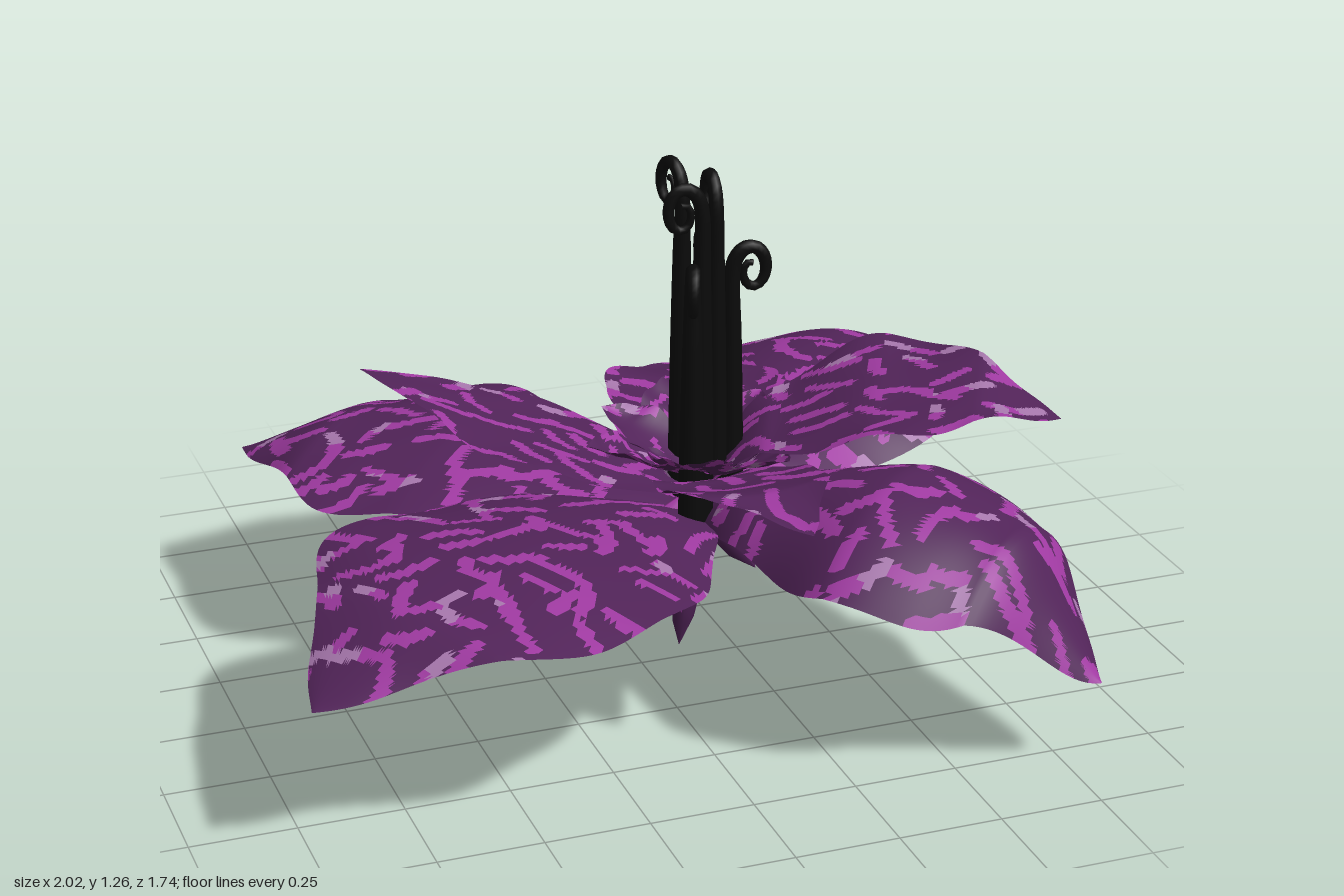
import * as THREE from 'three';

const mat = (name, color, side = THREE.DoubleSide) => {
  const m = new THREE.MeshStandardMaterial({ color, side });
  m.name = name;
  return m;
};

// seeded random numbers
function seeded(seed) {
  let s = seed * 7919 + 17;
  return () => {
    s = (s * 1664525 + 1013904223) % 4294967296;
    return s / 4294967296;
  };
}

// height along a petal, from a few evenly spaced values
function profile(values, u) {
  const f = Math.min(u, 0.9999) * (values.length - 1), i = Math.floor(f), t = f - i;
  return THREE.MathUtils.lerp(values[i], values[i + 1], (t + t * t * (3 - 2 * t)) / 2);
}

// short bent stripes scattered on a jittered grid in plan
function makeStripes(seed, step) {
  const rnd = seeded(seed), list = [];
  for (let x = -1; x < 1.05; x += step) {
    for (let z = -1; z < 1.05; z += step) {
      const cx = x + (rnd() - 0.5) * step * 0.7, cz = z + (rnd() - 0.5) * step * 0.7;
      const a = rnd() * Math.PI, b = a + (rnd() - 0.5) * 1.5, h = step * (0.32 + rnd() * 0.28);
      list.push({
        start: [cx - Math.cos(a) * h, cz - Math.sin(a) * h],
        mid: [cx, cz],
        end: [cx + Math.cos(b) * h, cz + Math.sin(b) * h],
        r: step * (0.12 + rnd() * 0.05),
        light: rnd() < 0.35
      });
    }
  }
  return list;
}

function segmentDistance(x, z, [ax, az], [bx, bz]) {
  const dx = bx - ax, dz = bz - az;
  const t = THREE.MathUtils.clamp(((x - ax) * dx + (z - az) * dz) / (dx * dx + dz * dz), 0, 1);
  return Math.hypot(x - ax - dx * t, z - az - dz * t);
}

// colour index of a point: 0 base, 1 stripe, 2 pale stripe end near the rim
function stripeAt(list, x, z, rim) {
  for (const { start, mid, end, r, light } of list) {
    if (Math.abs(x - mid[0]) > 0.15 || Math.abs(z - mid[1]) > 0.15) continue;
    const d1 = segmentDistance(x, z, start, mid), d2 = segmentDistance(x, z, mid, end);
    if (Math.min(d1, d2) < r) return light && rim > 0.62 && d1 < d2 ? 2 : 1;
  }
  return 0;
}

// half-width of every petal along its axis, as a share of its widest point
const outline = [[0, 0], [0.1, 0.42], [0.3, 0.83], [0.48, 1], [0.62, 0.96], [0.76, 0.66], [0.86, 0.38], [0.94, 0.19], [1, 0]];

// petal: a sheet from base to tip; widths are for its two sides, swell shifts the widest point
function petal({ name, base, tip, widths, swell, heights, cup, tilt = 0 }, seed, mats, nu = 72, nv = 54, step = 0.115) {
  const dx = tip[0] - base[0], dz = tip[1] - base[1], len = Math.hypot(dx, dz);
  const edge = w => new THREE.CatmullRomCurve3(outline.map(([t, k]) => {
    const along = Math.pow(t, swell);
    return new THREE.Vector3(base[0] + dx * along - (dz / len) * k * w, 0, base[1] + dz * along + (dx / len) * k * w);
  }), false, 'centripetal');
  const A = edge(-widths[1]), B = edge(widths[0]), stripes = makeStripes(seed, step);
  const pos = [], groups = [[], [], []], p = new THREE.Vector3();
  for (let i = 0; i <= nu; i++) {
    const u = i / nu, a = A.getPointAt(u), b = B.getPointAt(u), bulge = Math.sin(Math.PI * u);
    for (let j = 0; j <= nv; j++) {
      const s = (2 * j) / nv - 1;
      // wavy rim
      p.lerpVectors(a, b, 0.5 + (s / 2) * (1 + 0.04 * Math.sin(u * 20 + seed + s)));
      const y = profile(heights, u) + (cup * s * s + tilt * s) * bulge + 0.008 * Math.sin(u * 22 + s * 2) * s * s * bulge;
      pos.push(p.x, y, p.z);
    }
  }
  const addTriangle = (...t) => {
    const x = t.reduce((sum, k) => sum + pos[k * 3], 0) / 3, z = t.reduce((sum, k) => sum + pos[k * 3 + 2], 0) / 3;
    const u = t[0] / (nv + 1) / nu, s = Math.abs((2 * (t[0] % (nv + 1))) / nv - 1);
    groups[stripeAt(stripes, x, z, Math.max(u, s))].push(...t);
  };
  for (let i = 0; i < nu; i++) {
    for (let j = 0; j < nv; j++) {
      const a = i * (nv + 1) + j, c = a + nv + 1;
      addTriangle(a, a + 1, c);
      addTriangle(a + 1, c + 1, c);
    }
  }
  const geo = new THREE.BufferGeometry();
  geo.setAttribute('position', new THREE.Float32BufferAttribute(pos, 3));
  geo.setIndex(groups.flat());
  let start = 0;
  groups.forEach((g, k) => { geo.addGroup(start, g.length, k); start += g.length; });
  geo.computeVertexNormals();
  const mesh = new THREE.Mesh(geo, mats);
  mesh.name = name;
  return mesh;
}

// stamen: a tapering stem ending in a rolled-up hook
function stamen([x, z, dx, dz, top], material) {
  const pts = [0.4, 0.65, top - 0.25].map(y => new THREE.Vector3(x, y, z));
  const n = Math.hypot(dx, dz), r0 = 0.048;
  for (let k = 0; k <= 14; k++) {
    const t = k / 14, a = Math.PI - t * 8, r = r0 * (1 - 0.72 * t), d = r0 + Math.cos(a) * r;
    pts.push(new THREE.Vector3(x + (dx / n) * d, top - 0.085 + Math.sin(a) * r * 1.45, z + (dz / n) * d));
  }
  const curve = new THREE.CatmullRomCurve3(pts), rings = 70, sides = 8;
  const geo = new THREE.TubeGeometry(curve, rings, 1, sides), pos = geo.attributes.position;
  const v = new THREE.Vector3();
  for (let i = 0; i <= rings; i++) {
    const c = curve.getPointAt(i / rings), r = 0.034 - 0.026 * Math.pow(i / rings, 1.6);
    for (let j = 0; j <= sides; j++) {
      const k = i * (sides + 1) + j;
      v.fromBufferAttribute(pos, k).sub(c).multiplyScalar(r).add(c);
      pos.setXYZ(k, v.x, v.y, v.z);
    }
  }
  const mesh = new THREE.Mesh(geo, material);
  mesh.name = 'stamen';
  return mesh;
}

// sepal: a flattened spindle hanging from the flower base to a point
function sepal(from, to, width, material) {
  const a = new THREE.Vector3(...from), b = new THREE.Vector3(...to), len = a.distanceTo(b);
  const shape = [[0, 0], [0.55, 0.2], [1, 0.5], [0.8, 0.75], [0, 1]].map(([r, y]) => new THREE.Vector2(r * width, y * len));
  const mesh = new THREE.Mesh(new THREE.LatheGeometry(shape, 8), material);
  mesh.scale.z = 0.6;
  mesh.position.copy(a);
  mesh.quaternion.setFromUnitVectors(new THREE.Vector3(0, 1, 0), b.sub(a).normalize());
  mesh.name = 'sepal';
  return mesh;
}

export function createModel() {
  const flower = new THREE.Group();
  flower.name = 'flower';
  const purple = mat('dark purple', 0x522459), magenta = mat('magenta', 0xa03aa2), pale = mat('pale mauve', 0xa878ae);
  const black = mat('black', 0x0b0b0b, THREE.FrontSide);
  const mats = [purple, magenta, pale];
  const base = [0.13, 0];

  // four large outer petals
  const outer = [
    { name: 'outerPetalRightFront', tip: [-1, 0.68], widths: [0.44, 0.44], swell: 0.98, heights: [0.4, 0.48, 0.53, 0.51, 0.38], cup: -0.05 },
    { name: 'outerPetalRightBack', tip: [-0.79, -0.82], widths: [0.43, 0.41], swell: 0.9, heights: [0.4, 0.46, 0.5, 0.47, 0.36], cup: -0.06 },
    { name: 'outerPetalLeftBack', tip: [1, -0.87], widths: [0.38, 0.39], swell: 0.78, heights: [0.4, 0.47, 0.54, 0.51, 0.41], cup: -0.13 },
    { name: 'outerPetalLeftFront', tip: [0.81, 0.86], widths: [0.37, 0.35], swell: 0.82, heights: [0.41, 0.55, 0.62, 0.54, 0.22], cup: -0.17 }
  ];
  // four smaller inner petals
  const inner = [
    { name: 'innerPetalRight', tip: [-0.58, -0.42], widths: [0.29, 0.28], swell: 1.1, heights: [0.44, 0.7], cup: 0, tilt: -0.05 },
    { name: 'innerPetalLeft', tip: [0.91, 0.4], widths: [0.27, 0.38], swell: 1, heights: [0.45, 0.62, 0.71, 0.73, 0.68], cup: 0.01 },
    { name: 'innerPetalBack', tip: [0.3, -0.67], widths: [0.26, 0.18], swell: 0.85, heights: [0.42, 0.53, 0.54, 0.5], cup: 0.03 },
    { name: 'innerPetalFront', tip: [0.15, 0.71], widths: [0.21, 0.17], swell: 1.1, heights: [0.45, 0.56, 0.64, 0.63], cup: 0.02 }
  ];
  [...outer, ...inner].forEach((p, i) => flower.add(petal({ base, ...p }, i + 1, mats)));

  // ring of small petals around the stamens
  for (let i = 0; i < 7; i++) {
    const a = (i / 7) * Math.PI * 2 + 0.3, len = 0.26 + 0.05 * (i % 2);
    const small = {
      name: 'centrePetal', base: [0.15, 0], tip: [0.15 + Math.cos(a) * len, Math.sin(a) * len],
      widths: [0.1, 0.1], swell: 0.9, heights: [0.46, 0.52, 0.58, 0.62], cup: 0.03
    };
    flower.add(petal(small, i + 20, mats, 24, 16, 0.07));
  }

  // stamens: x, z, hook direction x, z, top height
  [[0.13, -0.08, -0.3, -1, 1.27], [0.19, -0.06, 0.1, -1, 1.09], [0.22, 0.02, 1, 0.1, 1.09],
    [0.12, 0.08, -1, -0.05, 1.27], [0.09, 0.1, -0.35, 1, 1.09], [0.17, 0.04, 0.05, -1, 1.27]
  ].forEach(s => flower.add(stamen(s, black)));

  // long sepal and short leaves under the flower
  flower.add(sepal([0.14, 0.32, 0], [0.12, 0, -0.06], 0.045, purple));
  [[0.08, 0.15, 0.06, 0.04], [0.19, 0.24, -0.02, 0.05], [0.29, 0.22, 0.02, 0.04],
    [-0.04, 0.32, 0.04, 0.04], [0.28, 0.31, 0.06, 0.04], [0.12, 0.2, 0.02, 0.06]
  ].forEach(([x, y, z, w], i) => flower.add(sepal([0.13, 0.45, 0.01], [x, y, z], w, i % 3 ? purple : magenta)));
  return flower;
}
